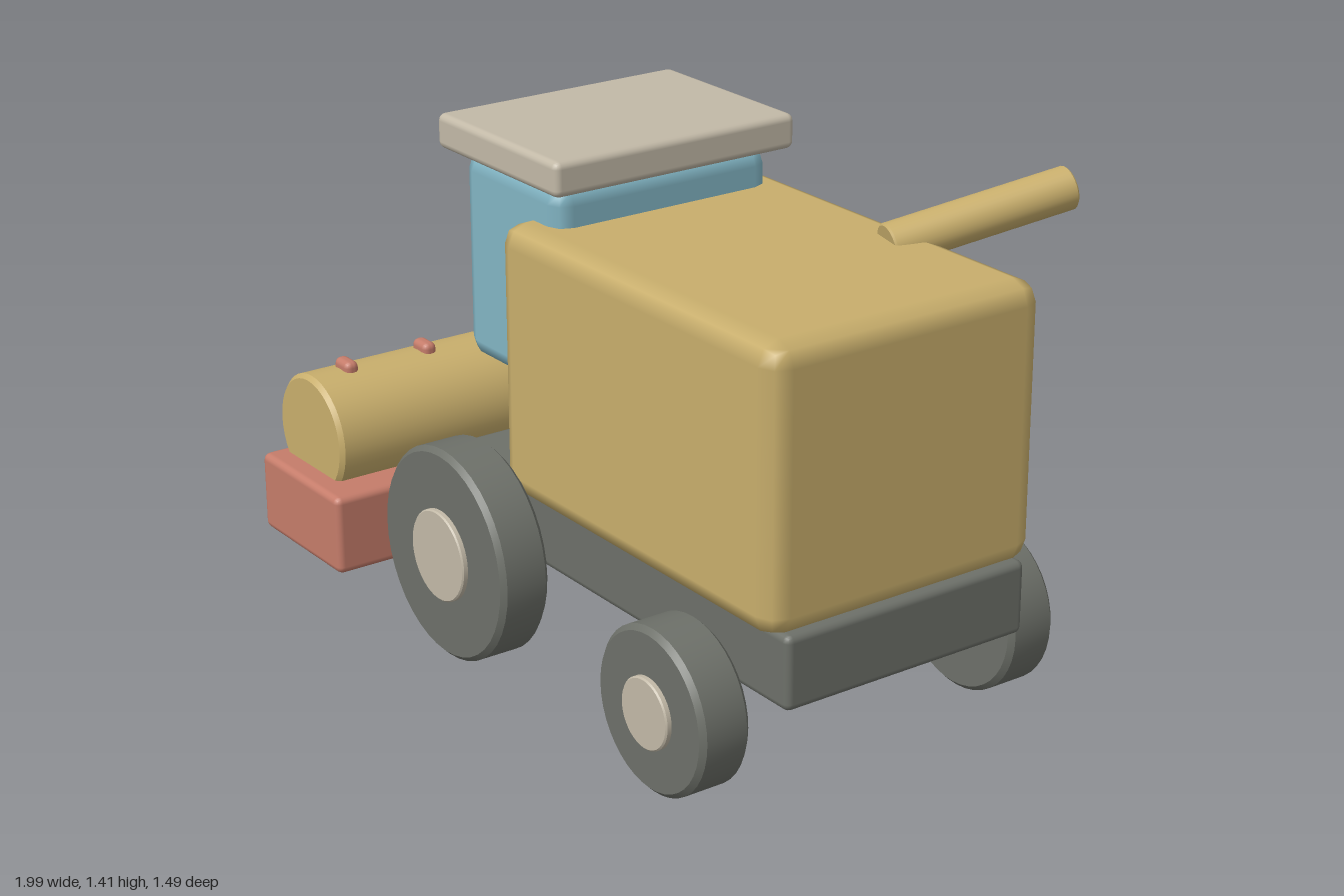
import * as THREE from 'three';
import { toCreasedNormals } from 'three/addons/utils/BufferGeometryUtils.js';
import { RoundedBoxGeometry } from 'three/addons/geometries/RoundedBoxGeometry.js';

const mat = (name, color) => {
  const m = new THREE.MeshStandardMaterial({ color });
  m.name = name;
  return m;
};

export function createModel() {
  const yellow = mat('harvest yellow', 0xc8ae6c);
  const red = mat('brick red', 0xc57c6a);
  const grey = mat('dark grey', 0x6d7069);
  const blue = mat('glass blue', 0x82b5c4);
  const beige = mat('beige', 0xc2b9a7);

  const model = new THREE.Group();
  model.name = 'harvester';
  const midZ = 0.06; // the vehicle's own centre line

  const add = (name, geometry, material, x, y, z, parent = model) => {
    const mesh = new THREE.Mesh(geometry, material);
    mesh.name = name;
    mesh.position.set(x, y, z);
    parent.add(mesh);
    return mesh;
  };

  // Box with rounded edges, given by its limits
  const box = (name, material, [x0, x1], [y0, y1], [z0, z1], radius, segments = 2) =>
    add(name, new RoundedBoxGeometry(x1 - x0, y1 - y0, z1 - z0, segments, radius), material,
      (x0 + x1) / 2, (y0 + y1) / 2, (z0 + z1) / 2);

  // Closed drum with bevelled rims, axis along z
  const drum = (radius, length, bevel, sides = 40) => {
    const h = length / 2;
    const profile = [[0, -h], [radius - bevel, -h], [radius, bevel - h], [radius, h - bevel], [radius - bevel, h], [0, h]]
      .map(([r, y]) => new THREE.Vector2(r, y));
    return toCreasedNormals(new THREE.LatheGeometry(profile, sides).rotateX(Math.PI / 2), 0.6);
  };

  // Chassis, grain tank and cab
  box('chassis', grey, [-0.5, 0.995], [0.295, 0.495], [-0.312, 0.435], 0.02);
  box('grainTank', yellow, [-0.18, 0.98], [0.475, 1.222], [-0.355, 0.475], 0.06, 1);
  box('cab', blue, [-0.46, -0.008], [0.76, 1.328], [-0.275, 0.397], 0.05, 1);
  box('cabRoof', beige, [-0.515, 0.045], [1.325, 1.42], [-0.315, 0.437], 0.02);

  // Cutting header with its reel and studs
  box('header', red, [-0.995, -0.58], [0.15, 0.375], [-0.627, 0.747], 0.02);
  add('reel', drum(0.17, 1.245, 0.012), yellow, -0.825, 0.47, midZ);
  for (let i = -2; i <= 2; i++) {
    add('reelStud', new RoundedBoxGeometry(0.075, 0.05, 0.042, 2, 0.018), red, -0.825, 0.64, midZ + i * 0.25);
  }

  // Wheels: large pair at the header end, small pair at the other
  const wheels = [
    { name: 'largeWheel', x: -0.25, y: 0.302, r: 0.295, hub: 0.127 },
    { name: 'smallWheel', x: 0.69, y: 0.23, r: 0.22, hub: 0.095 },
  ];
  for (const w of wheels) {
    for (const side of [1, -1]) {
      const wheel = new THREE.Group();
      wheel.name = w.name;
      wheel.position.set(w.x, w.y, midZ + side * 0.487);
      model.add(wheel);
      add('tyre', drum(w.r, 0.146, 0.014), grey, 0, 0, 0, wheel);
      add('hub', drum(w.hub, 0.03, 0.004), beige, 0, 0, side * 0.074, wheel);
    }
  }

  // Unloading pipe, rising outwards from the tank
  const start = new THREE.Vector3(0.525, 1.205, -0.233);
  const end = new THREE.Vector3(0.643, 1.295, -0.732);
  const along = end.clone().sub(start);
  const middle = start.clone().add(end).multiplyScalar(0.5);
  const pipe = add('unloadingPipe', drum(0.058, along.length(), 0.005, 28), yellow, middle.x, middle.y, middle.z);
  pipe.quaternion.setFromUnitVectors(new THREE.Vector3(0, 0, 1), along.normalize());

  return model;
}
